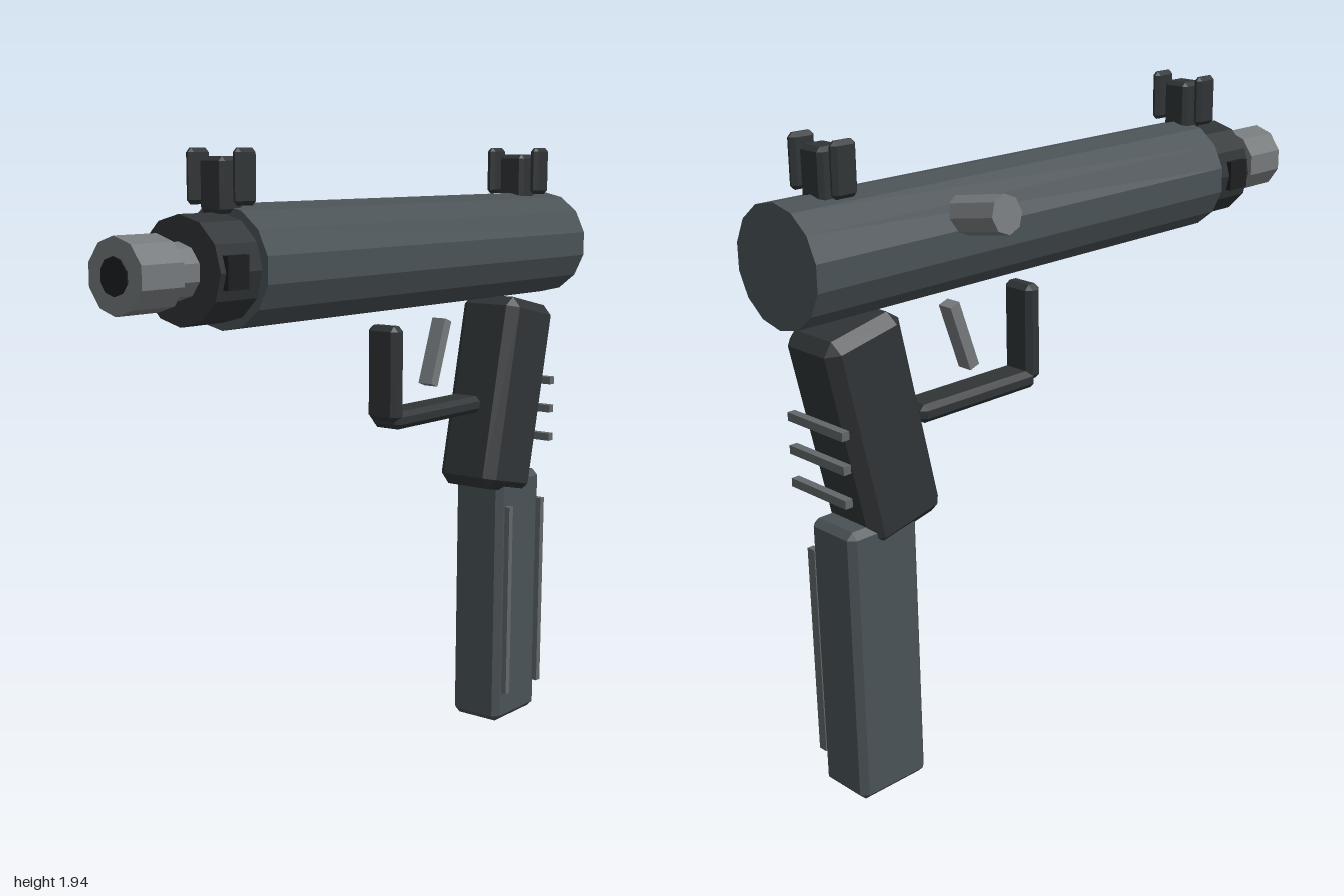
import * as THREE from 'three';
import { ConvexGeometry } from 'three/addons/geometries/ConvexGeometry.js';

const mat = (color) => new THREE.MeshStandardMaterial({ color, flatShading: true });
const AXIS_X = 0.075; // the whole body sits on this plane
const BORE_Y = 1.62;

// Box with every edge cut by a flat chamfer
function chamferBox(w, h, d, c) {
  const pts = [];
  for (const sx of [-1, 1]) for (const sy of [-1, 1]) for (const sz of [-1, 1]) {
    const x = w / 2, y = h / 2, z = d / 2;
    pts.push(
      new THREE.Vector3(sx * x, sy * (y - c), sz * (z - c)),
      new THREE.Vector3(sx * (x - c), sy * y, sz * (z - c)),
      new THREE.Vector3(sx * (x - c), sy * (y - c), sz * z)
    );
  }
  return new ConvexGeometry(pts);
}

export function createModel() {
  const model = new THREE.Group();
  model.name = 'model';
  const steel = mat(0x4a5256), dark = mat(0x303436), bright = mat(0x75797b);
  const black = mat(0x1c1e20), rib = mat(0x62676a);

  const body = new THREE.Group();
  body.name = 'body';
  body.position.x = AXIS_X;
  model.add(body);

  function add(name, geometry, material, x, y, z, rotX = 0, parent = body) {
    const mesh = new THREE.Mesh(geometry, material);
    mesh.name = name;
    mesh.position.set(x, y, z);
    mesh.rotation.x = rotX;
    parent.add(mesh);
    return mesh;
  }

  // Cylinder along z between two depths, on the bore line
  function tube(name, r, z0, z1, sides, material) {
    const g = new THREE.CylinderGeometry(r, r, z1 - z0, sides).rotateX(Math.PI / 2);
    return add(name, g, material, 0, BORE_Y, (z0 + z1) / 2);
  }

  // Receiver and barrel
  tube('receiver', 0.17, -1, 0.605, 14, steel);
  tube('collar', 0.148, 0.59, 0.765, 12, dark);
  tube('barrel', 0.077, 0.75, 0.86, 10, bright);
  tube('muzzle', 0.102, 0.845, 0.995, 10, bright);
  tube('bore', 0.051, 0.9, 1, 10, black);
  for (const s of [-1, 1])
    add(s > 0 ? 'leftVent' : 'rightVent', new THREE.BoxGeometry(0.03, 0.09, 0.08), black, s * 0.14, BORE_Y, 0.705);

  // Front and rear sights: a post between two thin wings
  for (const [name, z] of [['frontSight', 0.603], ['rearSight', -0.837]]) {
    const sight = new THREE.Group();
    sight.name = name;
    sight.position.set(0, 0, z);
    body.add(sight);
    add(name + 'Post', chamferBox(0.09, 0.15, 0.085, 0.012), dark, 0, 1.84, 0, 0, sight);
    for (const s of [-1, 1])
      add(name + 'Wing', chamferBox(0.03, 0.15, 0.08, 0.012), dark, s * 0.085, 1.862, 0, 0, sight);
  }

  // Charging handle, sloping down into the receiver
  const handle = add('chargingHandle', new THREE.CylinderGeometry(0.055, 0.055, 0.2, 8), bright, -0.215, 1.703, -0.482);
  handle.rotation.z = Math.PI / 2 - 0.175;

  // Raked grip with cross rods behind it
  add('grip', chamferBox(0.22, 0.64, 0.262, 0.033), dark, 0, 1.122, -0.735, -0.215);
  for (const y of [0.965, 1.063, 1.16])
    add('gripRod', new THREE.BoxGeometry(0.235, 0.025, 0.025), rib, 0, y, -0.898);

  // Magazine with two raised ribs on its left side
  add('magazine', chamferBox(0.186, 0.855, 0.246, 0.02), steel, -0.002, 0.4275, -0.757);
  for (const z of [-0.672, -0.866])
    add('magazineRib', new THREE.BoxGeometry(0.03, 0.655, 0.022), rib, 0.095, 0.428, z);

  // Trigger and guard
  add('guardFront', chamferBox(0.112, 0.295, 0.057, 0.016), dark, 0, 1.257, -0.121);
  add('guardBottom', chamferBox(0.112, 0.055, 0.455, 0.016), dark, 0, 1.112, -0.343);
  add('trigger', new THREE.BoxGeometry(0.05, 0.215, 0.036), bright, 0, 1.298, -0.378, -0.34);

  return model;
}
